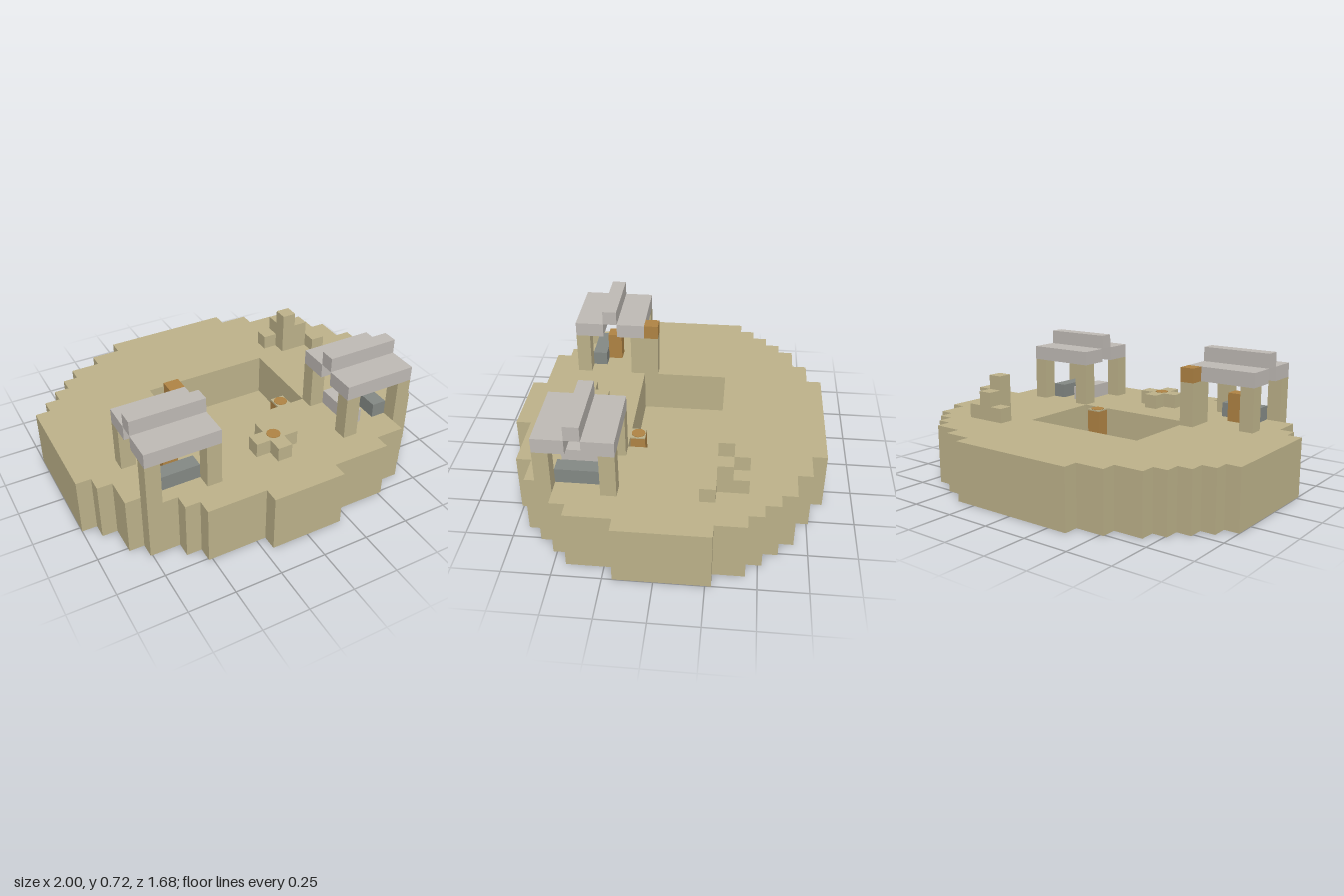
import * as THREE from 'three';

const mat = (name, color) => {
  const m = new THREE.MeshStandardMaterial({ color });
  m.name = name;
  return m;
};

export function createModel() {
  const group = new THREE.Group();
  const sand = mat('sand', 0xbdb28a);
  const wood = mat('wood', 0xb08444);
  const paleStone = mat('pale stone', 0xbfbab5);
  const darkStone = mat('dark stone', 0x848985);

  // Box given by its limits on each axis
  const box = (name, material, x0, x1, y0, y1, z0, z1, parent = group) => {
    const mesh = new THREE.Mesh(new THREE.BoxGeometry(x1 - x0, y1 - y0, z1 - z0), material);
    mesh.position.set((x0 + x1) / 2, (y0 + y1) / 2, (z0 + z1) / 2);
    mesh.name = name;
    parent.add(mesh);
  };

  // Stepped island outline: [half-width, end z] from back to front, per side
  const right = [[0.36, -0.76], [0.52, -0.68], [0.68, -0.6], [0.76, -0.52], [0.84, -0.44], [0.92, -0.28],
    [1, 0.2], [0.92, 0.44], [0.84, 0.52], [0.76, 0.6], [0.68, 0.68], [0.52, 0.76], [0.2, 0.84]];
  const left = [[0.36, -0.76], [0.52, -0.68], [0.68, -0.6], [0.76, -0.52], [0.84, -0.44], [0.92, -0.36],
    [1, 0.28], [0.92, 0.36], [0.84, 0.52], [0.76, 0.6], [0.6, 0.68], [0.52, 0.76], [0.2, 0.84]];
  const steps = (rows, side) => {
    const points = [];
    let z = -0.84;
    for (const [x, end] of rows) {
      points.push(new THREE.Vector2(side * x, z), new THREE.Vector2(side * x, end));
      z = end;
    }
    return points;
  };
  const outline = [...steps(right, 1), ...steps(left, -1).reverse()];
  const layer = (name, bottom, top, hole) => {
    const shape = new THREE.Shape(outline);
    if (hole) shape.holes.push(new THREE.Path(hole));
    const geometry = new THREE.ExtrudeGeometry(shape, { depth: top - bottom, bevelEnabled: false });
    geometry.rotateX(Math.PI / 2).translate(0, top, 0);
    const mesh = new THREE.Mesh(geometry, sand);
    mesh.name = name;
    group.add(mesh);
  };
  const pit = [[-0.36, -0.28], [-0.36, 0.2], [0.36, 0.2], [0.36, -0.28]].map(p => new THREE.Vector2(...p));
  layer('islandFloor', 0, 0.08);
  layer('islandGround', 0.08, 0.32, pit);

  // Thin round inlay lying on a block
  const inlay = (name, x, y, z) => {
    const mesh = new THREE.Mesh(new THREE.CylinderGeometry(0.037, 0.037, 0.004, 12), wood);
    mesh.position.set(x, y, z);
    mesh.name = name;
    group.add(mesh);
  };

  // Post in the pit
  box('pitPost', wood, 0.2, 0.28, 0.08, 0.312, 0.12, 0.2);
  box('pitPostCap', sand, 0.2, 0.28, 0.312, 0.32, 0.12, 0.2);
  inlay('pitPostRing', 0.24, 0.321, 0.16);

  // Cross-shaped hearth
  box('hearthBar', sand, -0.12, 0.12, 0.32, 0.4, 0.44, 0.52);
  box('hearthFront', sand, -0.04, 0.04, 0.32, 0.4, 0.52, 0.6);
  box('hearthBack', sand, -0.04, 0.04, 0.32, 0.4, 0.36, 0.44);
  inlay('hearthFire', 0, 0.401, 0.48);

  // Two open shelters with stepped roofs
  for (const [name, x] of [['leftShelter', 0.36], ['rightShelter', -0.76]]) {
    const shelter = new THREE.Group();
    shelter.name = name;
    group.add(shelter);
    for (const px of [x, x + 0.32])
      for (const pz of [0.2, 0.52])
        box('shelterPost', sand, px, px + 0.08, 0.32, 0.56, pz, pz + 0.08, shelter);
    box('roofFront', paleStone, x, x + 0.4, 0.56, 0.64, 0.44, 0.6, shelter);
    box('roofBack', paleStone, x, x + 0.4, 0.56, 0.64, 0.2, 0.36, shelter);
    box('roofRidge', paleStone, x, x + 0.4, 0.64, 0.72, 0.36, 0.44, shelter);
  }

  // Benches in one shelter
  box('paleBench', paleStone, 0.44, 0.52, 0.32, 0.4, 0.28, 0.52);
  box('darkBench', darkStone, 0.6, 0.68, 0.32, 0.4, 0.28, 0.52);

  // Work corner and lamp post of the other shelter
  box('darkStool', darkStone, -0.68, -0.6, 0.32, 0.4, 0.44, 0.52);
  box('darkCounter', darkStone, -0.6, -0.44, 0.32, 0.4, 0.44, 0.52);
  box('woodPillar', wood, -0.6, -0.52, 0.32, 0.48, 0.36, 0.44);
  box('lampPost', sand, -0.44, -0.36, 0.32, 0.56, 0.12, 0.2);
  box('lamp', wood, -0.44, -0.36, 0.56, 0.64, 0.12, 0.2);

  // Ruined wall: [x, z, height in blocks]
  for (const [x, z, n] of [[0.44, -0.44, 1], [0.52, -0.44, 2], [0.6, -0.44, 1],
    [0.52, -0.36, 3], [0.6, -0.36, 2], [0.68, -0.28, 1]])
    box('ruinBlock', sand, x, x + 0.08, 0.32, 0.32 + n * 0.08, z, z + 0.08);

  return group;
}
